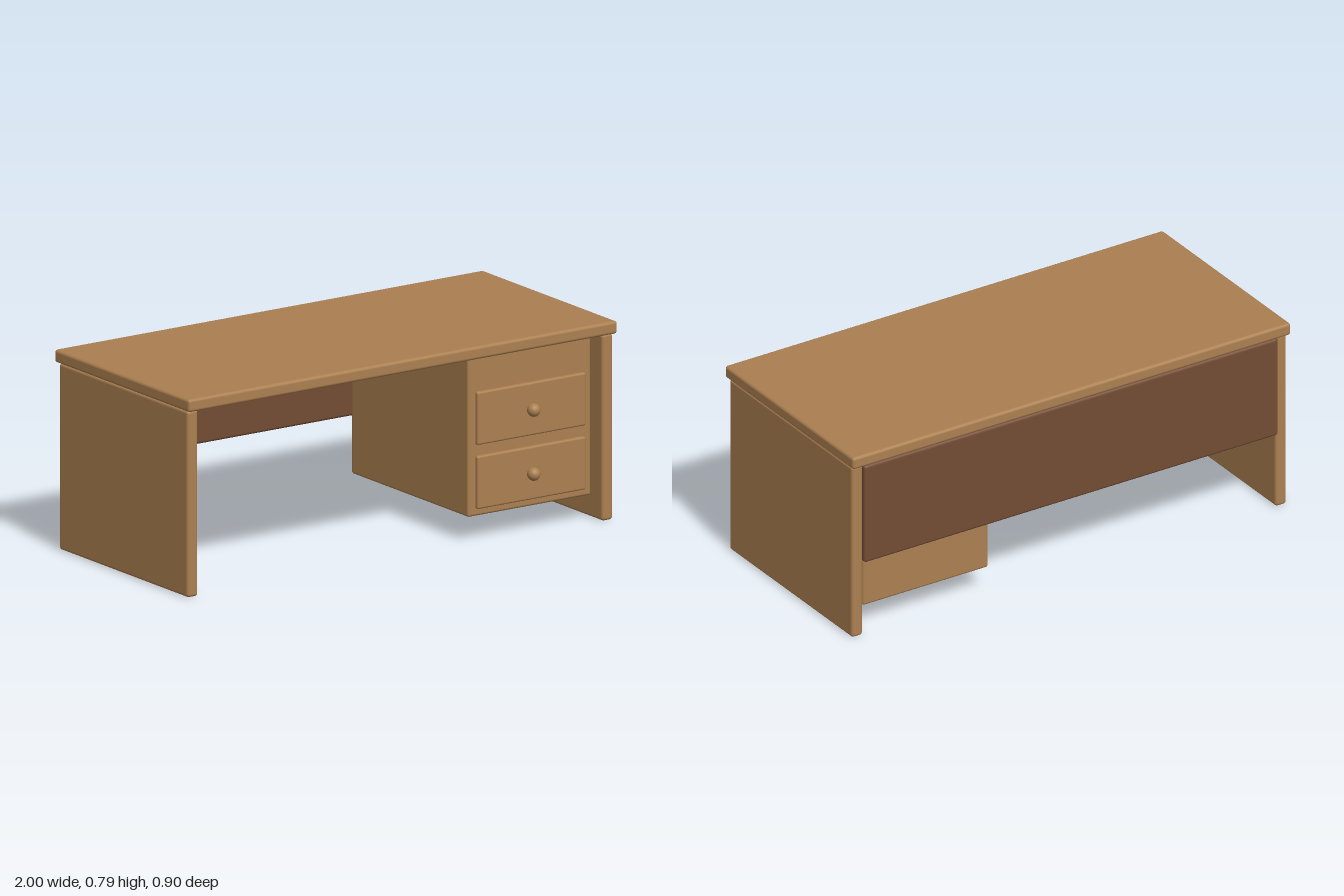
import * as THREE from 'three';
import { RoundedBoxGeometry } from 'three/addons/geometries/RoundedBoxGeometry.js';

export function createModel() {
  const desk = new THREE.Group();
  desk.name = 'desk';

  const wood = new THREE.MeshStandardMaterial({ color: 0xab7f50 });
  wood.name = 'light wood';
  const darkWood = new THREE.MeshStandardMaterial({ color: 0x744d34 });
  darkWood.name = 'dark wood';

  // Rounded board given by its minimum and maximum corners
  function board(name, min, max, radius, material = wood, parent = desk) {
    const size = max.map((v, i) => v - min[i]);
    const mesh = new THREE.Mesh(new RoundedBoxGeometry(...size, 3, radius), material);
    mesh.name = name;
    mesh.position.set(...min.map((v, i) => (v + max[i]) / 2));
    parent.add(mesh);
    return mesh;
  }

  // Top and the two full-depth side panels
  board('desktop', [-1, 0.739, -0.45], [1, 0.79, 0.45], 0.012);
  board('rightSidePanel', [-0.992, 0, -0.43], [-0.942, 0.739, 0.43], 0.012);
  board('leftSidePanel', [0.942, 0, -0.43], [0.992, 0.739, 0.43], 0.012);

  // Modesty panel across the back
  board('backPanel', [-0.945, 0.318, -0.446], [0.945, 0.739, -0.416], 0.012, darkWood);

  // Drawer pedestal
  const pedestal = new THREE.Group();
  pedestal.name = 'pedestal';
  desk.add(pedestal);
  board('pedestalBody', [0.343, 0.1, -0.39], [0.917, 0.739, 0.39], 0.01, wood, pedestal);

  // Two drawers, each with a round knob
  const knobGeometry = new THREE.SphereGeometry(0.026, 24, 16);
  [['lower', 0.13], ['upper', 0.384]].forEach(([label, y]) => {
    board(label + 'DrawerFront', [0.377, y, 0.375], [0.883, y + 0.21, 0.406], 0.008, wood, pedestal);
    const knob = new THREE.Mesh(knobGeometry, wood);
    knob.name = label + 'DrawerKnob';
    knob.position.set(0.63, y + 0.104, 0.418);
    pedestal.add(knob);
  });

  return desk;
}
